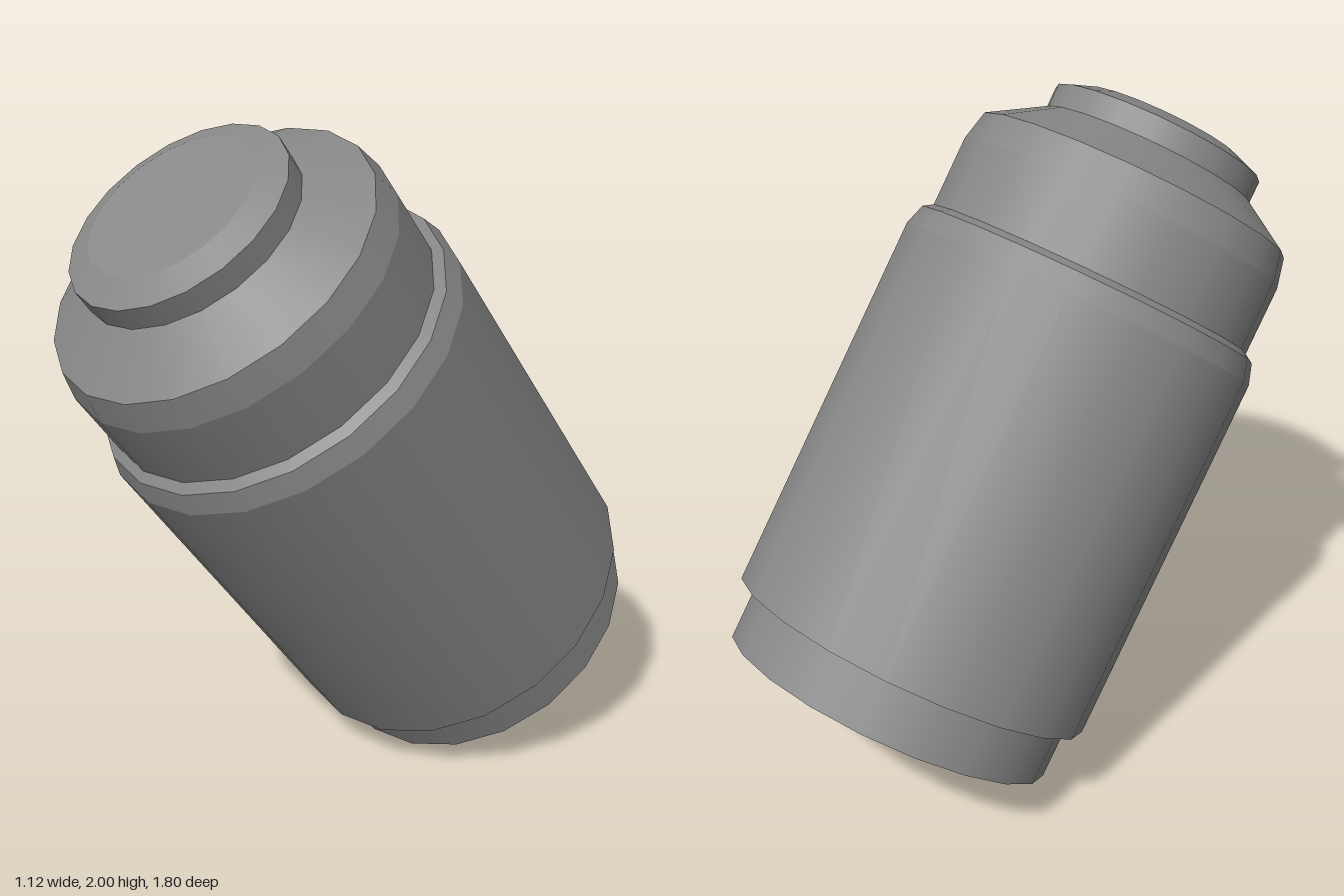
import * as THREE from 'three';

const SIDES = 20;
const TILT = THREE.MathUtils.degToRad(35.8);

export function createModel() {
  const model = new THREE.Group();
  model.name = 'tiltedCanister';
  const material = new THREE.MeshStandardMaterial({ color: 0x888888 });

  // Each part is a [radius, height] profile; every band is its own lathe,
  // smooth around the axis and sharp between bands.
  const parts = {
    base: [[0, 0], [0.512, 0], [0.512, 0.17]],
    body: [[0.512, 0.17], [0.56, 0.17], [0.56, 1.31], [0.54, 1.372], [0.512, 1.39]],
    shoulder: [[0.512, 1.39], [0.512, 1.6], [0.491, 1.69], [0.33, 1.79]],
    cap: [[0.33, 1.79], [0.33, 1.86], [0.25, 1.892], [0, 1.892]],
  };

  // Tilted assembly, leaning forward and resting on the rim of its base
  const canister = new THREE.Group();
  canister.name = 'canister';
  for (const [name, profile] of Object.entries(parts)) {
    const part = new THREE.Group();
    part.name = name;
    for (let i = 0; i < profile.length - 1; i++) {
      const band = [profile[i], profile[i + 1]].map(([r, y]) => new THREE.Vector2(r, y));
      const geometry = new THREE.LatheGeometry(band, SIDES);
      geometry.normalizeNormals(); // even shading on short bands
      const mesh = new THREE.Mesh(geometry, material);
      mesh.name = `${name}Band${i + 1}`;
      part.add(mesh);
    }
    canister.add(part);
  }
  canister.rotation.x = TILT;
  canister.position.set(0, 0.3, -0.488);
  model.add(canister);
  return model;
}
